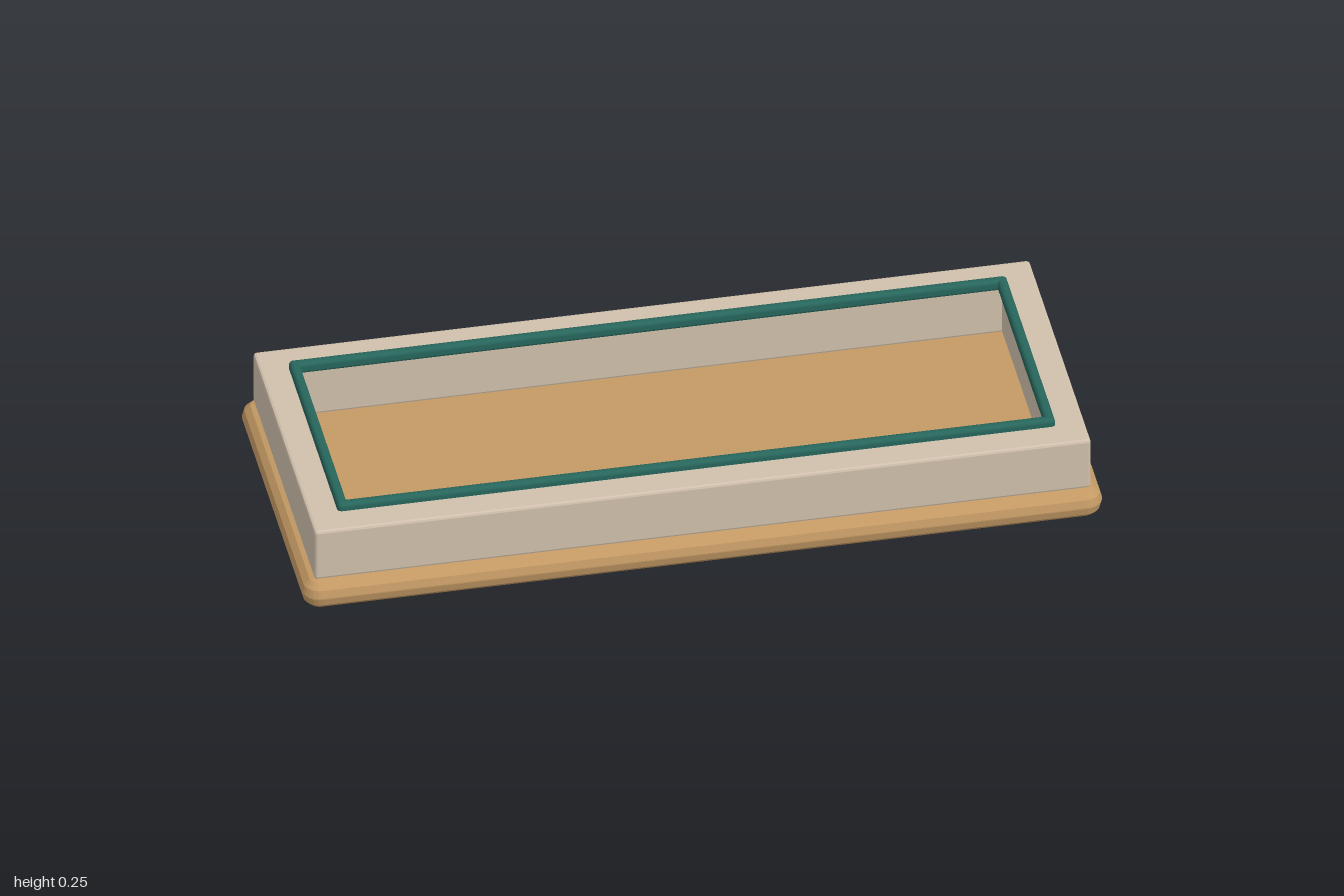
import * as THREE from 'three';
import { RoundedBoxGeometry } from 'three/addons/geometries/RoundedBoxGeometry.js';

const paint = (name, color) => {
  const m = new THREE.MeshStandardMaterial({ color });
  m.name = name;
  return m;
};

// Rounded rectangle outline, given half sizes and corner radius
function roundedRect(path, hx, hz, r) {
  path.moveTo(hx, -hz + r);
  path.lineTo(hx, hz - r);
  path.absarc(hx - r, hz - r, r, 0, Math.PI / 2);
  path.lineTo(-hx + r, hz);
  path.absarc(-hx + r, hz - r, r, Math.PI / 2, Math.PI);
  path.lineTo(-hx, -hz + r);
  path.absarc(-hx + r, -hz + r, r, Math.PI, Math.PI * 1.5);
  path.lineTo(hx - r, -hz);
  path.absarc(hx - r, -hz + r, r, Math.PI * 1.5, Math.PI * 2);
  return path;
}

// Bevelled slab lying flat between y0 and y1
function slab(shape, y0, y1, bevel, bevelSegments, curveSegments) {
  const g = new THREE.ExtrudeGeometry(shape, {
    depth: y1 - y0 - 2 * bevel, bevelThickness: bevel, bevelSize: bevel,
    bevelOffset: 0, bevelSegments, curveSegments,
  });
  g.rotateX(-Math.PI / 2);
  g.translate(0, y0 + bevel, 0);
  return g;
}

export function createModel() {
  const model = new THREE.Group();
  model.name = 'tray';
  const wood = paint('warm wood', 0xc49a64);
  const stone = paint('beige stone', 0xd0c0ac);
  const green = paint('deep green', 0x27665c);

  const add = (name, geometry, material, x = 0, y = 0, z = 0) => {
    const mesh = new THREE.Mesh(geometry, material);
    mesh.name = name;
    mesh.position.set(x, y, z);
    model.add(mesh);
  };

  // Base with a bullnose edge; its top is also the tray floor
  const b = 0.04;
  add('base', slab(roundedRect(new THREE.Shape(), 1 - b, 0.41 - b, 0.006), 0, 0.083, b, 3, 3), wood);

  // Raised rectangular frame with softened edges
  const e = 0.007;
  const rim = roundedRect(new THREE.Shape(), 0.97 - e, 0.383 - e, 0.003);
  const hx = 0.883 + e, hz = 0.292 + e;
  rim.holes.push(new THREE.Path([[-hx, -hz], [-hx, hz], [hx, hz], [hx, -hz]]
    .map(([x, z]) => new THREE.Vector2(x, z))));
  add('frame', slab(rim, 0.083, 0.227, e, 2, 2), stone);

  // Four trim bars along the inner edge of the frame
  const w = 0.026, h = 0.032, y = 0.247 - h / 2;
  for (const s of [1, -1]) {
    add(s > 0 ? 'frontTrim' : 'backTrim',
      new RoundedBoxGeometry(1.79, h, w, 2, 0.011), green, 0, y, s * 0.296);
    add(s > 0 ? 'leftTrim' : 'rightTrim',
      new RoundedBoxGeometry(w, h, 0.618, 2, 0.011), green, s * 0.884, y, 0);
  }
  return model;
}
